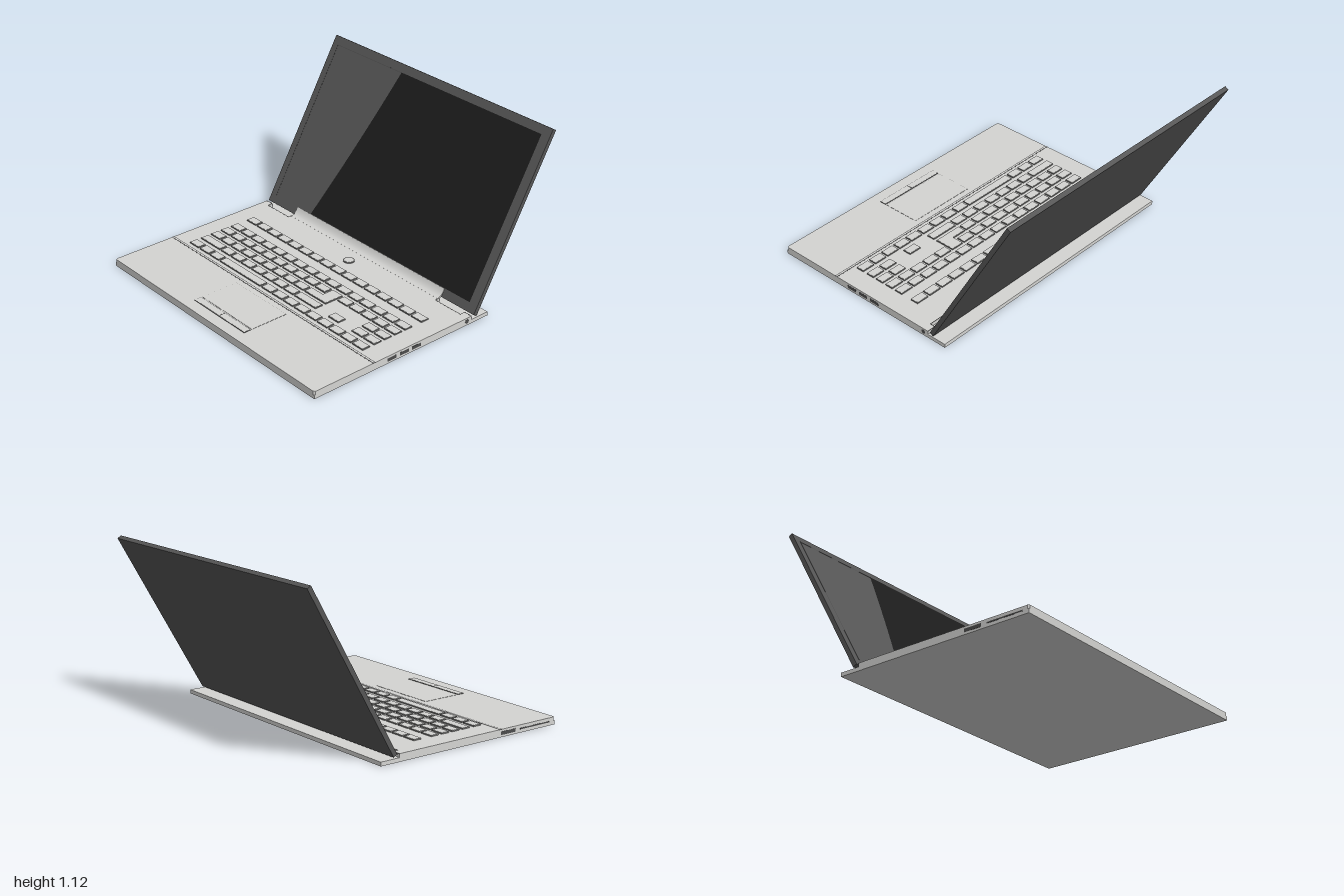
import * as THREE from 'three';
import { toCreasedNormals } from 'three/addons/utils/BufferGeometryUtils.js';

const material = (name, color, side = THREE.FrontSide) => {
  const m = new THREE.MeshStandardMaterial({ color, side });
  m.name = name;
  return m;
};

export function createModel() {
  const silver = material('silver', 0xd4d4d2, THREE.DoubleSide);
  const charcoal = material('charcoal', 0x565656);
  const screenBlack = material('screenBlack', 0x1d1d1d, THREE.DoubleSide);
  const trim = material('darkTrim', 0x4c4c4c);
  const edge = material('edgeGrey', 0x7c7c7a);

  const model = new THREE.Group();
  model.name = 'laptop';
  const TOP = 0.05;

  const add = (parent, name, geometry, mat) => {
    const mesh = new THREE.Mesh(geometry, mat);
    mesh.name = name;
    parent.add(mesh);
    return mesh;
  };
  // Box given by its limits on each axis
  const box = (parent, name, mat, x0, x1, y0, y1, z0, z1) => {
    const mesh = add(parent, name, new THREE.BoxGeometry(x1 - x0, y1 - y0, z1 - z0), mat);
    mesh.position.set((x0 + x1) / 2, (y0 + y1) / 2, (z0 + z1) / 2);
    return mesh;
  };
  // Plate with a contrasting rim
  const rimmed = (parent, name, rimMat, x0, x1, z0, z1, y, rim = 0.003) => {
    box(parent, name + 'Rim', rimMat, x0, x1, TOP - 0.004, y, z0, z1);
    box(parent, name + 'Cap', silver, x0 + rim, x1 - rim, y - 0.002, y + 0.001, z0 + rim, z1 - rim);
  };

  // Base: lower tray and upper deck notched for the hinges
  const base = new THREE.Group();
  base.name = 'base';
  model.add(base);
  box(base, 'lowerTray', silver, -1, 1, 0, 0.026, -0.44, 0.955);
  const deckShape = new THREE.Shape([
    [-0.99, -0.955], [0.99, -0.955], [1, -0.945], [1, 0.3], [0.94, 0.3], [0.94, 0.265],
    [0.72, 0.265], [0.72, 0.3], [-0.72, 0.3], [-0.72, 0.265], [-0.94, 0.265],
    [-0.94, 0.3], [-1, 0.3], [-1, -0.945],
  ].map(([x, y]) => new THREE.Vector2(x, y)));
  const deckGeometry = new THREE.ExtrudeGeometry(deckShape, { depth: TOP - 0.026, bevelEnabled: false });
  deckGeometry.rotateX(-Math.PI / 2);
  add(base, 'deck', deckGeometry, silver).position.y = 0.026;

  // Seams round the hinge notches
  for (const s of [-1, 1]) {
    const line = (a, b, z0, z1) =>
      box(base, 'notchSeam', edge, Math.min(s * a, s * b), Math.max(s * a, s * b), 0.046, 0.0508, z0, z1);
    line(0.72, 0.94, -0.265, -0.262);
    line(0.94, 0.943, -0.3, -0.262);
    line(0.717, 0.72, -0.3, -0.262);
    line(0.94, 1, -0.302, -0.298);
  }

  // Groove across the deck
  box(base, 'deckGroove', trim, -1, 1, 0.046, 0.0505, 0.487, 0.507);
  box(base, 'grooveFiller', silver, -1, 1, 0.046, 0.0512, 0.492, 0.502);

  // Keyboard: each row lists [first column, last column]
  const keyboard = new THREE.Group();
  keyboard.name = 'keyboard';
  model.add(keyboard);
  const singles = (a, b) => Array.from({ length: b - a + 1 }, (_, i) => [a + i, a + i]);
  const rows = [
    [-0.073, singles(0, 15)],
    [0.063, singles(0, 15)],
    [0.147, [...singles(0, 9), ...singles(11, 15)]],
    [0.23, [...singles(0, 8), ...singles(14, 15)]],
    [0.313, [[0, 1], ...singles(2, 8), [9, 10], [12, 12], ...singles(14, 15)]],
    [0.404, [...singles(0, 2), [3, 6], ...singles(7, 15)]],
  ];
  const left = (c) => -0.858 + c * 0.1081;
  const KEY_W = 0.093, KEY_D = 0.058, KEY_Y = 0.058;
  for (const [z, keys] of rows)
    for (const [a, b] of keys)
      rimmed(keyboard, 'key', edge, left(a), left(b) + KEY_W, z, z + KEY_D, KEY_Y);
  // L-shaped enter key
  rimmed(keyboard, 'enterKeyFoot', edge, left(9), left(10) + KEY_W, 0.23, 0.288, KEY_Y);
  rimmed(keyboard, 'enterKeyStem', edge, left(10), left(10) + KEY_W, 0.147, 0.288, KEY_Y);

  // Touchpad and its two buttons
  rimmed(base, 'touchpad', edge, -0.25, 0.25, 0.545, 0.815, 0.0505, 0.002);
  rimmed(base, 'leftPadButton', trim, 0, 0.25, 0.824, 0.874, 0.053);
  rimmed(base, 'rightPadButton', trim, -0.25, 0, 0.824, 0.874, 0.053);

  // Power button
  const powerRing = add(base, 'powerRing', new THREE.CylinderGeometry(0.038, 0.038, 0.008, 32), edge);
  powerRing.position.set(0, 0.051, -0.18);
  const powerCap = add(base, 'powerButton', new THREE.CylinderGeometry(0.03, 0.03, 0.008, 32), silver);
  powerCap.position.set(0, 0.0522, -0.18);

  // Ports and audio jack on the left side, port and disc slot on the right
  for (const z of [0.358, 0.258, 0.16])
    box(base, 'port', trim, 0.995, 1.001, 0.014, 0.036, z - 0.036, z + 0.036);
  const jack = add(base, 'audioJack', new THREE.CylinderGeometry(0.015, 0.015, 0.006, 16), trim);
  jack.rotation.z = Math.PI / 2;
  jack.position.set(0.998, 0.027, -0.262);
  box(base, 'rightPort', trim, -1.001, -0.995, 0.014, 0.036, 0.5, 0.62);
  box(base, 'discSlot', trim, -1.001, -0.995, 0.021, 0.03, 0.66, 0.91);

  // Curved hinge cover sweeping from the deck up onto the lid
  const cover = new THREE.Shape();
  cover.moveTo(-0.285, 0.0505);
  cover.quadraticCurveTo(-0.32, 0.051, -0.3435, 0.098);
  cover.lineTo(-0.35, 0.094);
  cover.lineTo(-0.325, 0.048);
  cover.lineTo(-0.285, 0.046);
  const coverGeometry = new THREE.ExtrudeGeometry(cover, { depth: 1.43, bevelEnabled: false, curveSegments: 12 });
  coverGeometry.rotateY(-Math.PI / 2);
  add(model, 'hingeCover', toCreasedNormals(coverGeometry, 0.5), silver).position.x = 0.715;

  // Lid, leaning back thirty degrees
  const lid = new THREE.Group();
  lid.name = 'lid';
  lid.position.set(0, 0.05, -0.318);
  lid.rotation.x = -Math.PI / 6;
  model.add(lid);
  box(lid, 'lidShell', charcoal, -1, 1, 0, 1.232, -0.03, 0);

  // Fine seam where the glass meets the frame
  box(lid, 'glassSeamSide', trim, -0.952, -0.948, 0.058, 1.175, -0.002, 0.001);
  box(lid, 'glassSeamTop', trim, -0.952, -0.31, 1.171, 1.175, -0.002, 0.001);

  // Dark screen area with a slanted, slightly bowed edge
  const screen = new THREE.Shape();
  screen.moveTo(-0.58, 0.058);
  screen.lineTo(0.935, 0.058);
  screen.lineTo(0.935, 1.175);
  screen.lineTo(-0.31, 1.175);
  screen.quadraticCurveTo(-0.425, 0.61, -0.58, 0.058);
  add(lid, 'screen', new THREE.ShapeGeometry(screen, 12), screenBlack).position.z = 0.002;

  return model;
}
